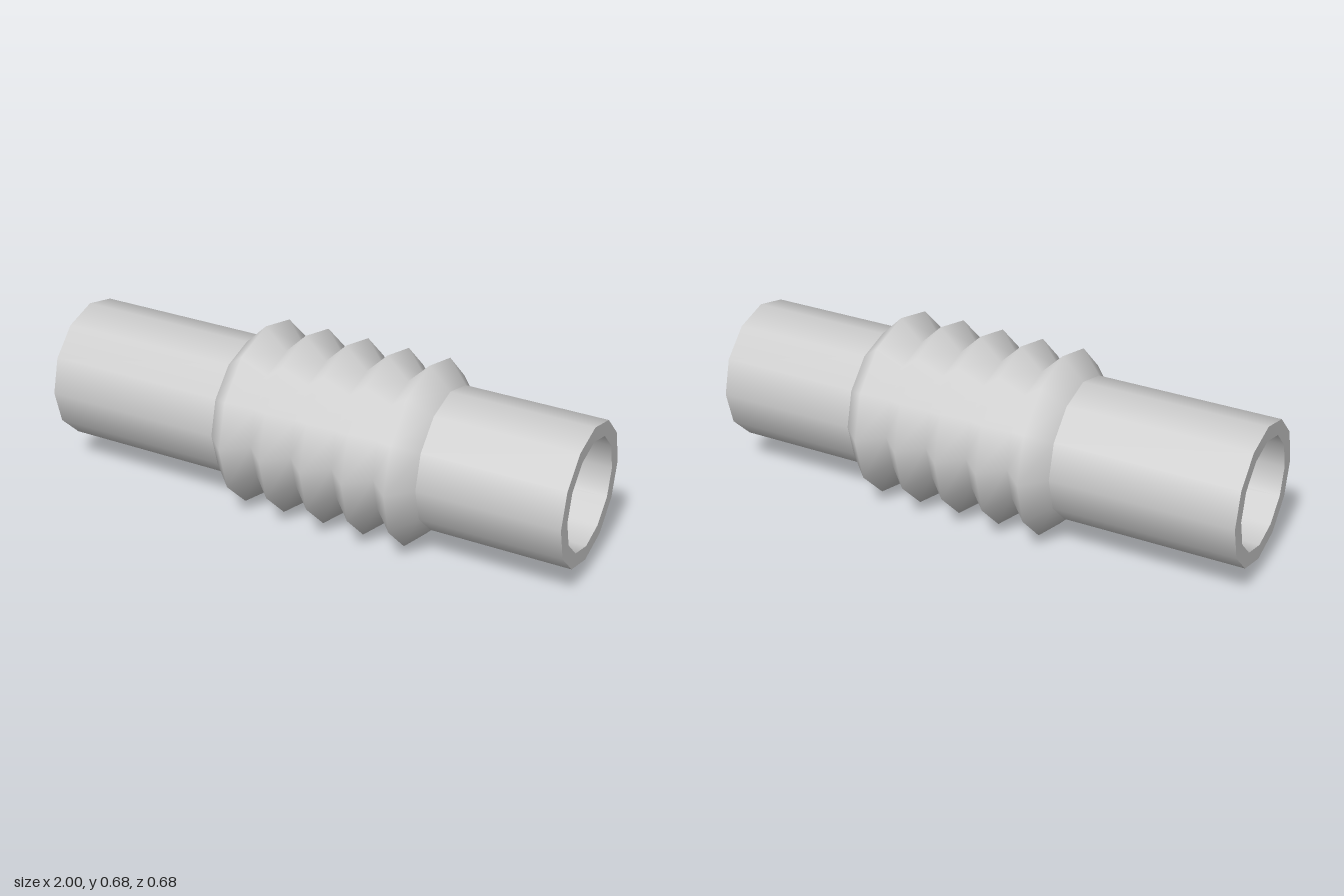
import * as THREE from 'three';

const SIDES = 12;
const OUTER = 0.258, INNER = 0.203, RIDGE = 0.338;
const START = -0.325, PITCH = 0.16, RIDGES = 5;
const END = START + PITCH * RIDGES;

export function createModel() {
  const model = new THREE.Group();
  const material = new THREE.MeshStandardMaterial({ color: 0xcccccc });

  // Revolves [radius, x] points about the pipe's long axis
  const addTurned = (name, points) => {
    const profile = points.map(([r, x]) => new THREE.Vector2(r, x));
    const geometry = new THREE.LatheGeometry(profile, SIDES);
    geometry.rotateZ(-Math.PI / 2);
    geometry.translate(0, RIDGE, 0);
    const mesh = new THREE.Mesh(geometry, material);
    mesh.name = name;
    model.add(mesh);
  };

  // Plain pipe on either side of the ridges
  addTurned('rightPipe', [[OUTER, -1], [OUTER, START]]);
  addTurned('leftPipe', [[OUTER, END], [OUTER, 1]]);

  // Bellows of pointed ridges
  const bellows = [[OUTER, START]];
  for (let i = 0; i < RIDGES; i++) {
    const x = START + i * PITCH;
    bellows.push([RIDGE, x + PITCH / 2], [OUTER, x + PITCH]);
  }
  addTurned('bellows', bellows);

  // Straight bore and flat end rims
  addTurned('bore', [[INNER, 1], [INNER, -1]]);
  addTurned('leftRim', [[OUTER, 1], [INNER, 1]]);
  addTurned('rightRim', [[INNER, -1], [OUTER, -1]]);

  return model;
}
